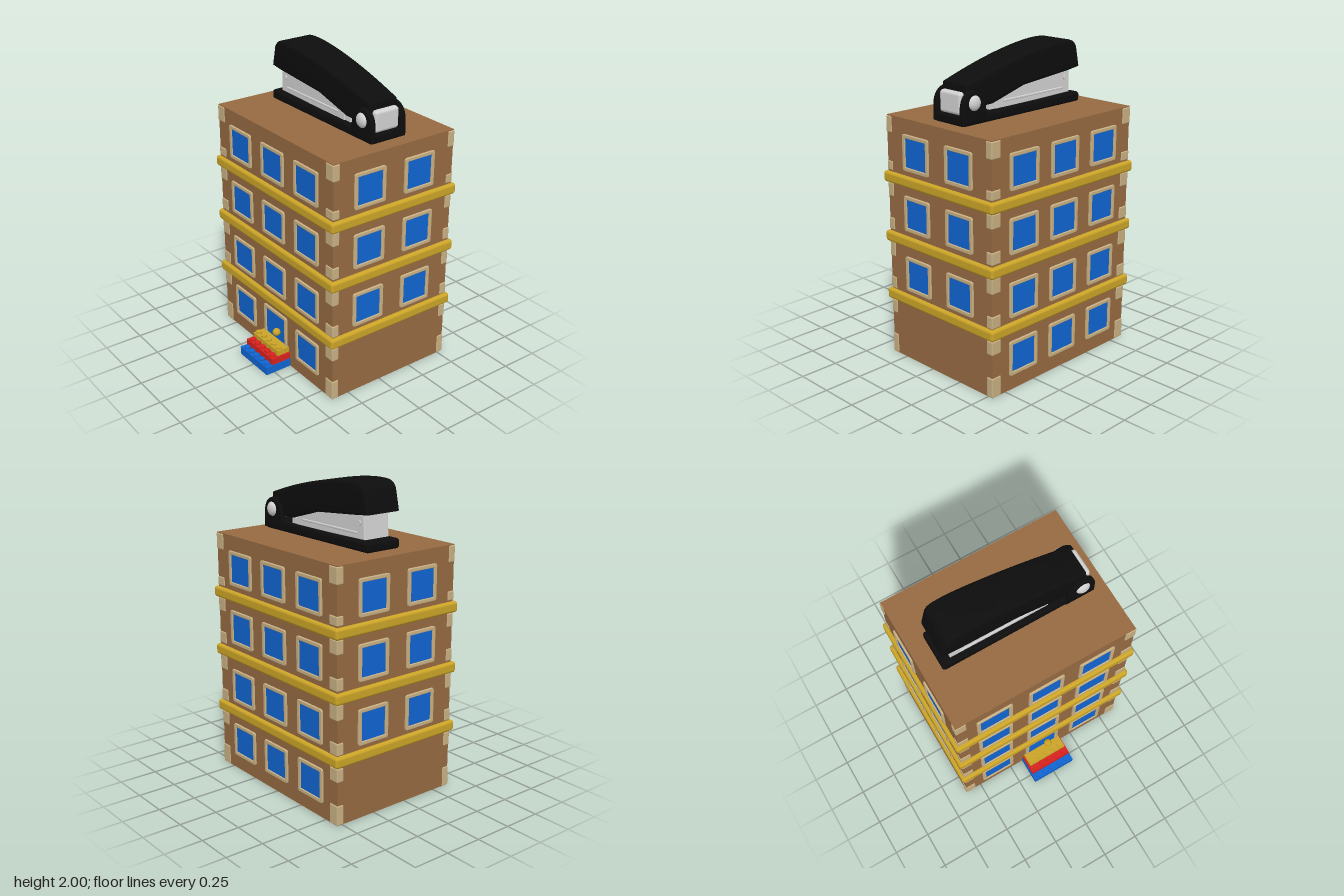
import * as THREE from 'three';
import { toCreasedNormals } from 'three/addons/utils/BufferGeometryUtils.js';
import { RoundedBoxGeometry } from 'three/addons/geometries/RoundedBoxGeometry.js';

const material = (name, color) => {
  const m = new THREE.MeshStandardMaterial({ color });
  m.name = name;
  return m;
};

export function createModel() {
  const root = new THREE.Group();
  const brown = material('cardboard brown', 0x966a42);
  const beige = material('tape beige', 0xc8b083);
  const yellow = material('band yellow', 0xcba427);
  const blue = material('bright blue', 0x1065d2);
  const red = material('brick red', 0xd8221e);
  const silver = material('metal silver', 0xd2d2d2);
  const black = material('stapler black', 0x0d0d0d);

  const add = (parent, name, geometry, mat, x = 0, y = 0, z = 0) => {
    const mesh = new THREE.Mesh(geometry, mat);
    mesh.name = name;
    mesh.position.set(x, y, z);
    parent.add(mesh);
    return mesh;
  };
  const group = (name, x = 0, y = 0, z = 0) => {
    const g = new THREE.Group();
    g.name = name;
    g.position.set(x, y, z);
    root.add(g);
    return g;
  };

  // Cardboard tower
  const W = 0.61, D = 0.455, ZC = -0.08, H = 1.59;
  add(root, 'tower', new THREE.BoxGeometry(W * 2, H, D * 2), brown, 0, H / 2, ZC);

  // Yellow ledges between the storeys
  for (const y of [0.413, 0.806, 1.198]) {
    add(root, 'ledge', new RoundedBoxGeometry(1.27, 0.07, 0.96, 3, 0.018), yellow, 0, y, ZC);
  }

  // Tape wrapped around the four corners
  const tape = [[0, 0.13], [0.28, 0.37], [0.45, 0.53], [0.67, 0.77], [0.85, 0.93], [1.07, 1.16], [1.24, 1.3], [1.48, 1.585]];
  for (const sx of [-1, 1]) for (const sz of [-1, 1]) for (const [a, b] of tape) {
    add(root, 'cornerTape', new RoundedBoxGeometry(0.075, b - a, 0.05, 2, 0.008), beige,
      sx * (W - 0.0325), (a + b) / 2, ZC + sz * (D - 0.02));
  }

  // Windows: a bevelled frame around a thin pane, facing +z
  const rounded = (path, w, h, r) => {
    path.moveTo(-w + r, -h);
    path.lineTo(w - r, -h); path.quadraticCurveTo(w, -h, w, -h + r);
    path.lineTo(w, h - r); path.quadraticCurveTo(w, h, w - r, h);
    path.lineTo(-w + r, h); path.quadraticCurveTo(-w, h, -w, h - r);
    path.lineTo(-w, -h + r); path.quadraticCurveTo(-w, -h, -w + r, -h);
    return path;
  };
  const frameGeometry = (w, h) => {
    const shape = rounded(new THREE.Shape(), w / 2 - 0.004, h / 2 - 0.004, 0.012);
    shape.holes.push(rounded(new THREE.Path(), w / 2 - 0.02, h / 2 - 0.02, 0.006));
    return new THREE.ExtrudeGeometry(shape, {
      depth: 0.008, bevelThickness: 0.004, bevelSize: 0.004, bevelSegments: 2, curveSegments: 3,
    });
  };
  const addWindow = (name, x, y, z, angle, w, h) => {
    const g = group(name, x, y, z);
    g.rotation.y = angle;
    add(g, 'frame', frameGeometry(w, h), beige);
    add(g, 'pane', new THREE.BoxGeometry(w - 0.03, h - 0.03, 0.006), blue, 0, 0, 0.001);
    return g;
  };
  [0.21, 0.59, 0.99, 1.38].forEach((y, row) => {
    [-0.355, 0, 0.35].forEach((x, col) => {
      if (row > 0 || col !== 1) addWindow('frontWindow', x, y, ZC + D, 0, 0.242, 0.226);
      addWindow('backWindow', x, y, ZC - D, Math.PI, 0.242, 0.226);
    });
    if (row > 0) for (const z of [0.11, -0.265]) for (const s of [-1, 1]) {
      addWindow('sideWindow', s * W, y, z, s * Math.PI / 2, 0.232, 0.23);
    }
  });

  // Door with a round knob
  const door = addWindow('door', 0, 0.173, ZC + D, 0, 0.256, 0.344);
  add(door, 'knob', new THREE.SphereGeometry(0.026, 16, 12), yellow, 0.038, 0.035, 0.025);

  // Entrance steps made of studded bricks
  const steps = [
    ['lowerStep', blue, 0, 0.055, 0.56, 0.155],
    ['middleStep', red, 0.055, 0.1, 0.512, 0.15],
    ['upperStep', yellow, 0.1, 0.138, 0.464, 0.14],
  ];
  for (const [name, mat, y0, y1, front, half] of steps) {
    const g = group(name);
    add(g, 'brick', new THREE.BoxGeometry(half * 2, y1 - y0, front - 0.37), mat, 0, (y0 + y1) / 2, (front + 0.37) / 2);
    for (let i = -2; i <= 2; i++) {
      add(g, 'stud', new THREE.CylinderGeometry(0.02, 0.02, 0.014, 16), mat, i * 0.057, y1 + 0.006, front - 0.027);
    }
  }

  // Stapler on the roof, long axis along x
  const stapler = group('stapler', 0, 0, -0.09);
  const slab = (shape, width, bevel) => {
    const depth = width - bevel * 2;
    const g = new THREE.ExtrudeGeometry(shape, {
      depth, bevelThickness: bevel, bevelSize: bevel, bevelOffset: -bevel, bevelSegments: 4, curveSegments: 16,
    });
    return g.translate(0, 0, -depth / 2);
  };

  // Lever: arched profile, narrowing towards the hinge
  const lever = new THREE.Shape();
  lever.moveTo(-0.49, 1.815);
  lever.lineTo(-0.46, 1.95);
  lever.quadraticCurveTo(-0.445, 1.985, -0.4, 1.995);
  lever.bezierCurveTo(-0.25, 2.012, 0.1, 1.955, 0.476, 1.83);
  lever.lineTo(0.485, 1.77);
  lever.lineTo(0.46, 1.68);
  lever.lineTo(0.26, 1.69);
  lever.lineTo(0, 1.765);
  lever.lineTo(-0.4, 1.803);
  const leverGeometry = slab(lever, 0.26, 0.022);
  const p = leverGeometry.attributes.position;
  for (let i = 0; i < p.count; i++) {
    const x = p.getX(i);
    p.setZ(i, p.getZ(i) * (1 - 0.18 * THREE.MathUtils.clamp((x + 0.3) / 0.75, 0, 1)));
  }
  add(stapler, 'lever', toCreasedNormals(leverGeometry, 0.7), black);

  // Base plate
  add(stapler, 'base', new RoundedBoxGeometry(1.02, 0.062, 0.255, 3, 0.018), black, 0.015, 1.622, 0);

  // Metal magazine with a long rib on each side
  const magazine = new THREE.Shape();
  magazine.moveTo(-0.43, 1.657);
  magazine.lineTo(0.23, 1.645);
  magazine.lineTo(0.23, 1.73);
  magazine.lineTo(0, 1.79);
  magazine.lineTo(-0.42, 1.83);
  add(stapler, 'magazine', slab(magazine, 0.19, 0.006), silver);
  add(stapler, 'magazineRail', new THREE.BoxGeometry(0.36, 0.045, 0.18), silver, 0.1, 1.668, 0);
  for (const s of [-1, 1]) {
    add(stapler, 'magazineRib', new RoundedBoxGeometry(0.53, 0.014, 0.012, 2, 0.005), silver, -0.1, 1.692, s * 0.096);
    const rivet = add(stapler, 'magazineRivet', new THREE.CylinderGeometry(0.016, 0.016, 0.01, 16), silver, -0.385, 1.755, s * 0.097);
    rivet.rotation.x = Math.PI / 2;
  }

  // Hinge cheeks with domed pivot caps
  const cheek = new THREE.Shape();
  cheek.moveTo(0.33, 1.6);
  cheek.lineTo(0.345, 1.7);
  cheek.quadraticCurveTo(0.37, 1.8, 0.45, 1.8);
  cheek.quadraticCurveTo(0.525, 1.78, 0.528, 1.69);
  cheek.lineTo(0.528, 1.6);
  const cheekGeometry = toCreasedNormals(slab(cheek, 0.038, 0.008), 0.7);
  for (const s of [-1, 1]) {
    add(stapler, 'hingeCheek', cheekGeometry, black, 0, 0, s * 0.114);
    const cap = add(stapler, 'pivotCap', new THREE.SphereGeometry(0.046, 24, 14), silver, 0.44, 1.725, s * 0.13);
    cap.scale.z = 0.6;
  }

  // Metal plate at the back of the hinge
  add(stapler, 'hingePlate', new RoundedBoxGeometry(0.06, 0.135, 0.18, 3, 0.02), silver, 0.487, 1.72, 0);

  return root;
}
